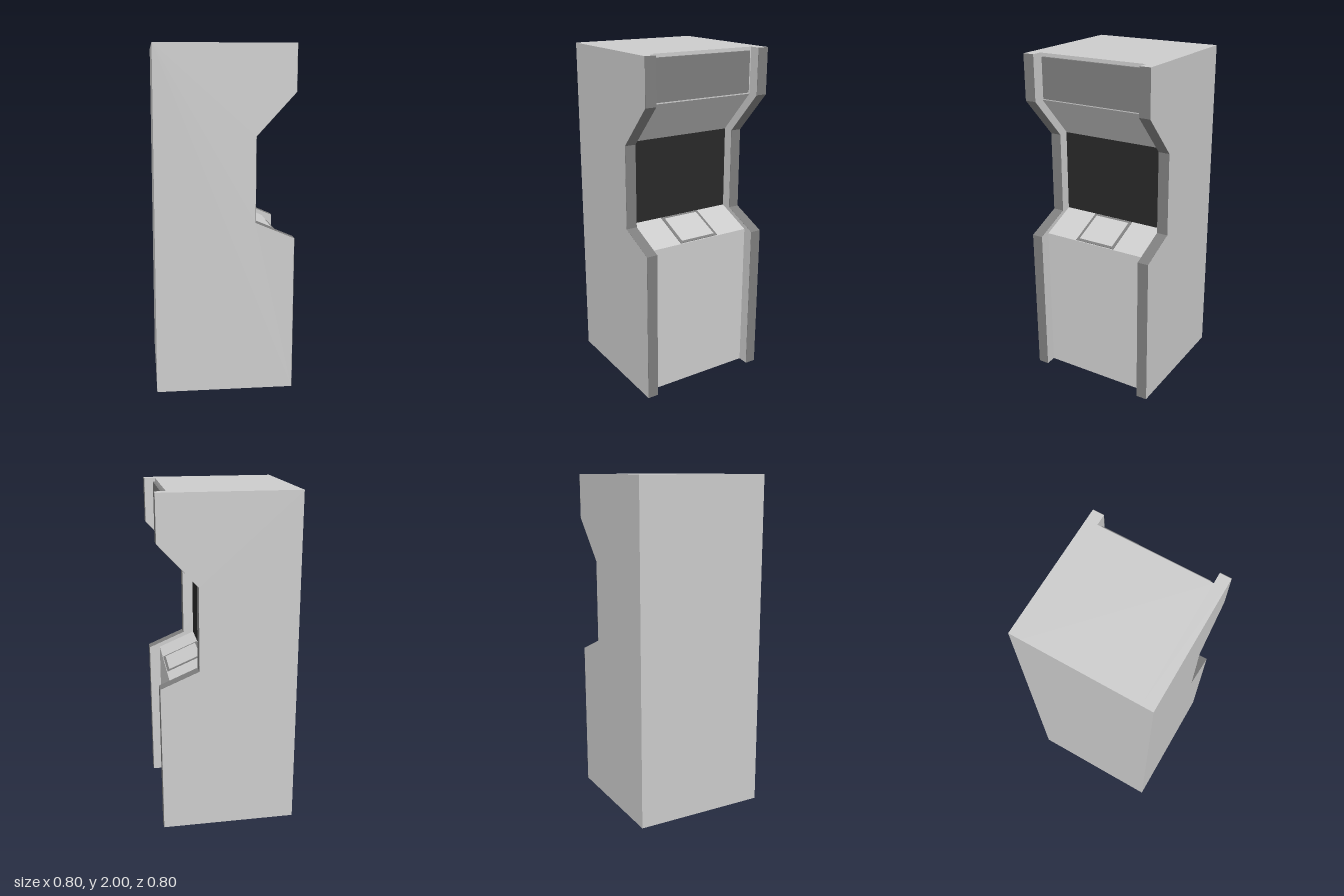
import * as THREE from 'three';

const H = 0.4;         // half width and half depth
const INNER = 0.334;   // inner face of the side panels
const INSET = 0.067;   // how far the body sits behind the side edges
const TRIM = 0.002;    // thickness of the dark edge trim

// Front outline from floor to top, set back by d
const frontLine = (d) => [
  [H - d, 0], [H - d, 0.905], [0.175 - d, 1.0],
  [0.175 - d, 1.49], [H - d, 1.735], [H - d, 2],
];

export function createModel() {
  const group = new THREE.Group();
  const grey = new THREE.MeshStandardMaterial({ color: 0xcccccc });
  const dark = new THREE.MeshStandardMaterial({ color: 0x7d7d7d });
  const black = new THREE.MeshStandardMaterial({ color: 0x282828 });

  const add = (name, geometry, material) => {
    const mesh = new THREE.Mesh(geometry, material);
    mesh.name = name;
    group.add(mesh);
    return mesh;
  };

  // Extrude a side outline across z0..z1
  const extrude = (points, z0, z1) => {
    const shape = new THREE.Shape(points.map(([x, y]) => new THREE.Vector2(x, y)));
    return new THREE.ExtrudeGeometry(shape, { depth: z1 - z0, bevelEnabled: false })
      .translate(0, 0, z0);
  };
  const cabinet = (d) => [[-H, 0], ...frontLine(d), [-H, 2]];

  // Body between the side panels
  add('body', extrude(cabinet(INSET), -INNER, INNER), grey);

  // Side panels with dark trim along their front edges
  const band = [...frontLine(0), ...frontLine(TRIM).reverse()];
  for (const [side, z0, z1] of [['left', INNER, H], ['right', -H, -INNER]]) {
    add(side + 'SidePanel', extrude(cabinet(TRIM), z0, z1), grey);
    add(side + 'EdgeTrim', extrude(band, z0, z1), dark);
  }

  // Screen
  add('screen', new THREE.BoxGeometry(0.004, 0.49, INNER * 2), black)
    .position.set(0.175 - INSET, 1.245, 0);

  // Sign above the screen
  add('marquee', new THREE.BoxGeometry(0.02, 0.235, 0.632), dark)
    .position.set(0.338, 1.8625, 0);

  // Plates lying on the sloping control deck
  const deck = new THREE.Group();
  deck.name = 'controlDeck';
  deck.position.set(0.2875 - INSET, 0.9525, 0);
  deck.rotation.z = Math.atan2(-0.095, 0.225);
  group.add(deck);
  const plates = [
    ['controlPlateBorder', 0.236, 0.006, 0.26, dark],
    ['controlPlate', 0.205, 0.01, 0.226, grey],
  ];
  for (const [name, length, height, width, material] of plates) {
    deck.add(add(name, new THREE.BoxGeometry(length, height, width), material));
  }

  return group;
}
